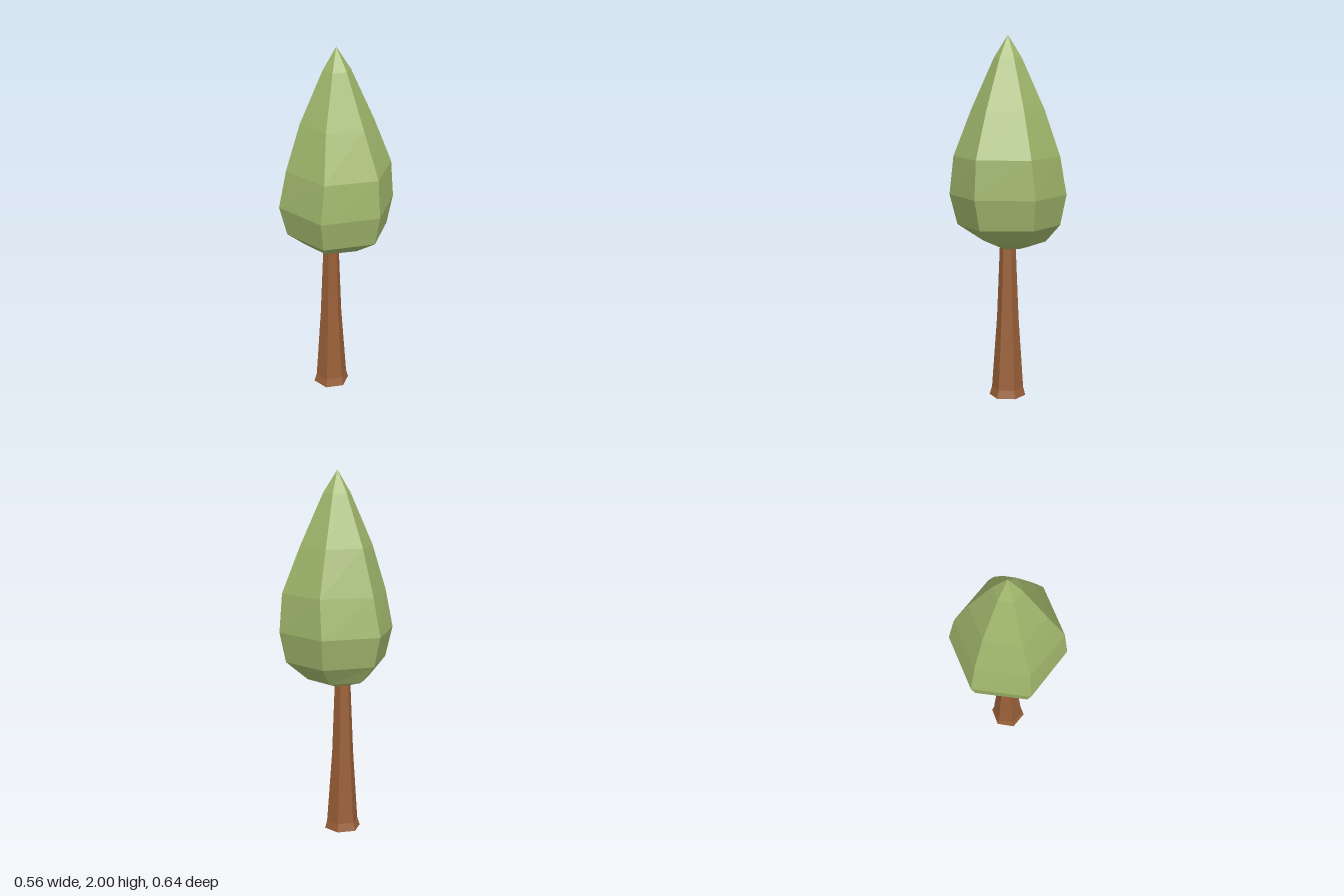
import * as THREE from 'three';

// Six-sided solid through rings [y, radius, centreX, centreZ, twist], listed from top to bottom.
function ringSolid(name, color, rings) {
  const n = rings.length - 1;
  const base = new THREE.CylinderGeometry(rings[0][1] > 0 ? 1 : 0, 1, n, 6, n);
  const p = base.attributes.position;
  for (let i = 0; i < p.count; i++) {
    const [y, r, cx, cz, twist] = rings[Math.round(n / 2 - p.getY(i))];
    const x = p.getX(i), z = p.getZ(i);
    const radius = Math.hypot(x, z) > 1e-6 ? r : 0; // cap centres stay central
    const a = Math.atan2(x, z) + twist;
    p.setXYZ(i, cx + radius * Math.sin(a), y, cz + radius * Math.cos(a));
  }
  const geometry = base.toNonIndexed();
  geometry.computeVertexNormals();
  const mesh = new THREE.Mesh(geometry, new THREE.MeshStandardMaterial({ color, flatShading: true }));
  mesh.name = name;
  return mesh;
}

export function createModel() {
  const group = new THREE.Group();
  group.name = 'tree';

  // Teardrop crown, slightly leaning and twisting
  group.add(ringSolid('foliage', 0xa0b76c, [
    [2.0, 0, -0.003, 0, 0],
    [1.88, 0.075, 0, 0, 0],
    [1.6, 0.2, 0.002, 0, 0],
    [1.35, 0.29, 0.015, 0.005, 0.02],
    [1.14, 0.32, 0, 0, 0.03],
    [0.975, 0.282, 0.002, -0.005, 0.03],
    [0.88, 0.172, -0.02, -0.035, 0],
    [0.848, 0.082, -0.015, -0.025, 0],
  ]));

  // Tapering trunk with a flared foot
  group.add(ringSolid('trunk', 0x9a6038, [
    [0.9, 0.042, -0.032, 0.003, 0],
    [0.45, 0.06, -0.033, 0.003, 0],
    [0.045, 0.088, -0.031, 0.004, 0],
    [0, 0.101, -0.032, 0.005, 0],
  ]));

  return group;
}
